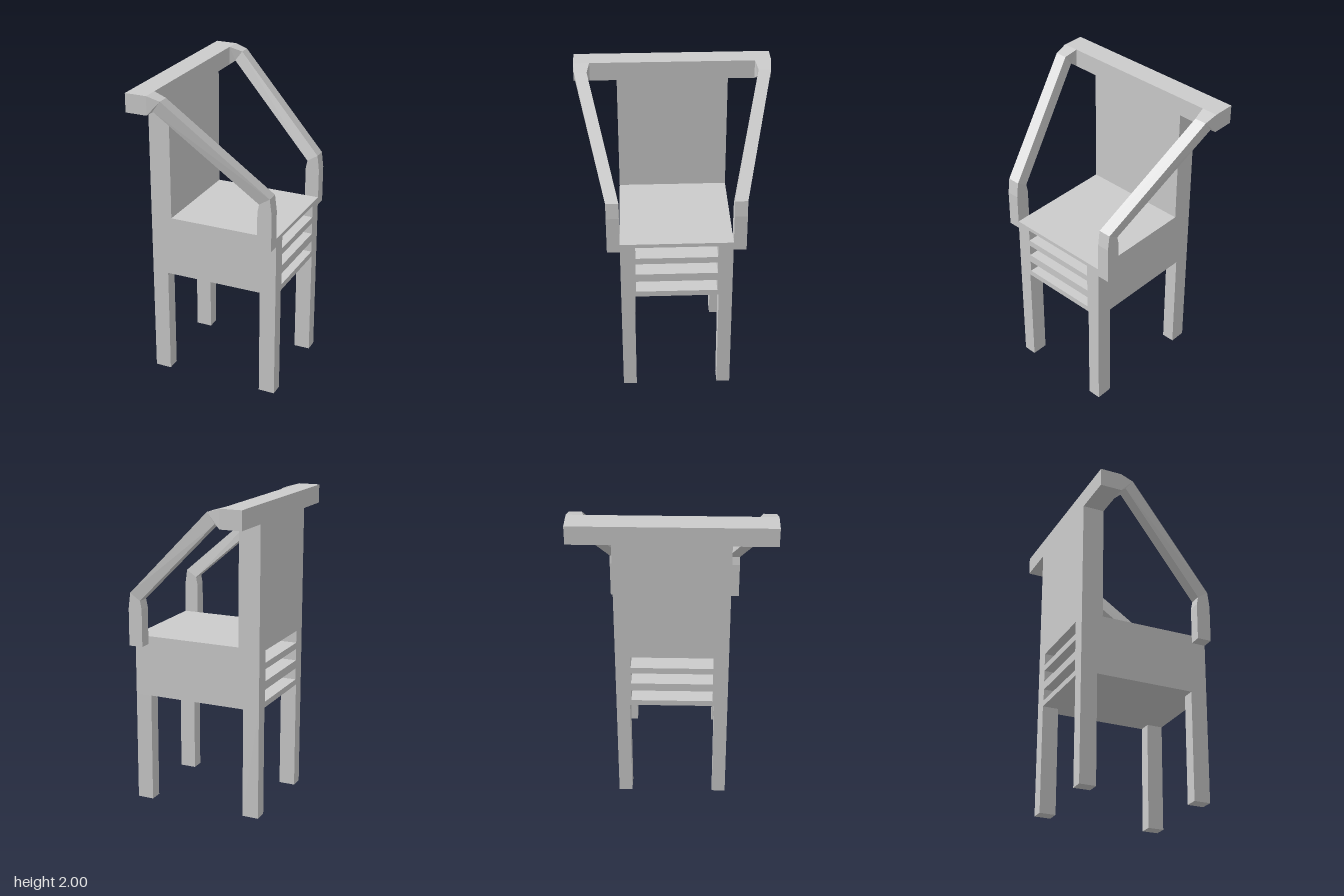
import * as THREE from 'three';

const material = new THREE.MeshStandardMaterial({ color: 0xcccccc, flatShading: true });

// Box given by its minimum and maximum on each axis
function box(name, [x0, x1], [y0, y1], [z0, z1]) {
  const mesh = new THREE.Mesh(new THREE.BoxGeometry(x1 - x0, y1 - y0, z1 - z0), material);
  mesh.position.set((x0 + x1) / 2, (y0 + y1) / 2, (z0 + z1) / 2);
  mesh.name = name;
  return mesh;
}

// Seat block: a rectangle with three slots, extruded along x
function createSeat() {
  const rect = (path, w, y0, y1) =>
    path.moveTo(-w, y0).lineTo(w, y0).lineTo(w, y1).lineTo(-w, y1).closePath();
  const shape = rect(new THREE.Shape(), 0.352, 0.715, 1.11);
  for (const [y0, y1] of [[0.753, 0.83], [0.885, 0.963], [1.005, 1.085]]) {
    shape.holes.push(rect(new THREE.Path(), 0.257, y0, y1));
  }
  const geometry = new THREE.ExtrudeGeometry(shape, { depth: 0.862, bevelEnabled: false });
  geometry.translate(0, 0, -0.431).rotateY(Math.PI / 2);
  const seat = new THREE.Mesh(geometry, material);
  seat.name = 'slottedSeat';
  return seat;
}

// Armrest: square cross-sections swept from the top rail down to the front post
function createArm(side) {
  // upper x, upper y, lower x, lower y, outer z, inner z
  const sections = [
    [-0.29, 2.0, -0.29, 1.88, 0.622, 0.52],
    [-0.205, 1.975, -0.255, 1.908, 0.613, 0.535],
    [0.418, 1.4, 0.349, 1.355, 0.432, 0.352],
    [0.431, 1.3, 0.338, 1.3, 0.432, 0.352],
    [0.431, 1.057, 0.338, 1.057, 0.432, 0.352],
  ];
  const rings = sections.map(([ux, uy, lx, ly, zo, zi]) => [
    [ux, uy, zo * side], [ux, uy, zi * side], [lx, ly, zi * side], [lx, ly, zo * side],
  ]);
  const positions = [];
  const quad = (a, b, c, d) => {
    const corners = side > 0 ? [a, b, c, a, c, d] : [a, c, b, a, d, c];
    positions.push(...corners.flat());
  };
  for (let r = 0; r < rings.length - 1; r++) {
    for (let i = 0; i < 4; i++) {
      const j = (i + 1) % 4;
      quad(rings[r][i], rings[r + 1][i], rings[r + 1][j], rings[r][j]);
    }
  }
  const end = rings[rings.length - 1];
  quad(end[3], end[2], end[1], end[0]);

  const geometry = new THREE.BufferGeometry();
  geometry.setAttribute('position', new THREE.Float32BufferAttribute(positions, 3));
  geometry.computeVertexNormals();
  const arm = new THREE.Mesh(geometry, material);
  arm.name = side > 0 ? 'leftArm' : 'rightArm';
  return arm;
}

export function createModel() {
  const chair = new THREE.Group();
  chair.name = 'armchair';

  chair.add(createSeat());

  // Backrest panel and the wide rail on top of it
  chair.add(box('backrest', [-0.431, -0.29], [1.11, 1.88], [-0.352, 0.352]));
  chair.add(box('topRail', [-0.431, -0.29], [1.88, 2], [-0.622, 0.622]));

  // Four legs and two arms
  for (const side of [1, -1]) {
    const z = side > 0 ? [0.266, 0.352] : [-0.352, -0.266];
    const prefix = side > 0 ? 'left' : 'right';
    chair.add(box(prefix + 'SeatFrontLeg', [0.324, 0.431], [0, 0.715], z));
    chair.add(box(prefix + 'SeatBackLeg', [-0.431, -0.324], [0, 0.715], z));
    chair.add(createArm(side));
  }
  return chair;
}
